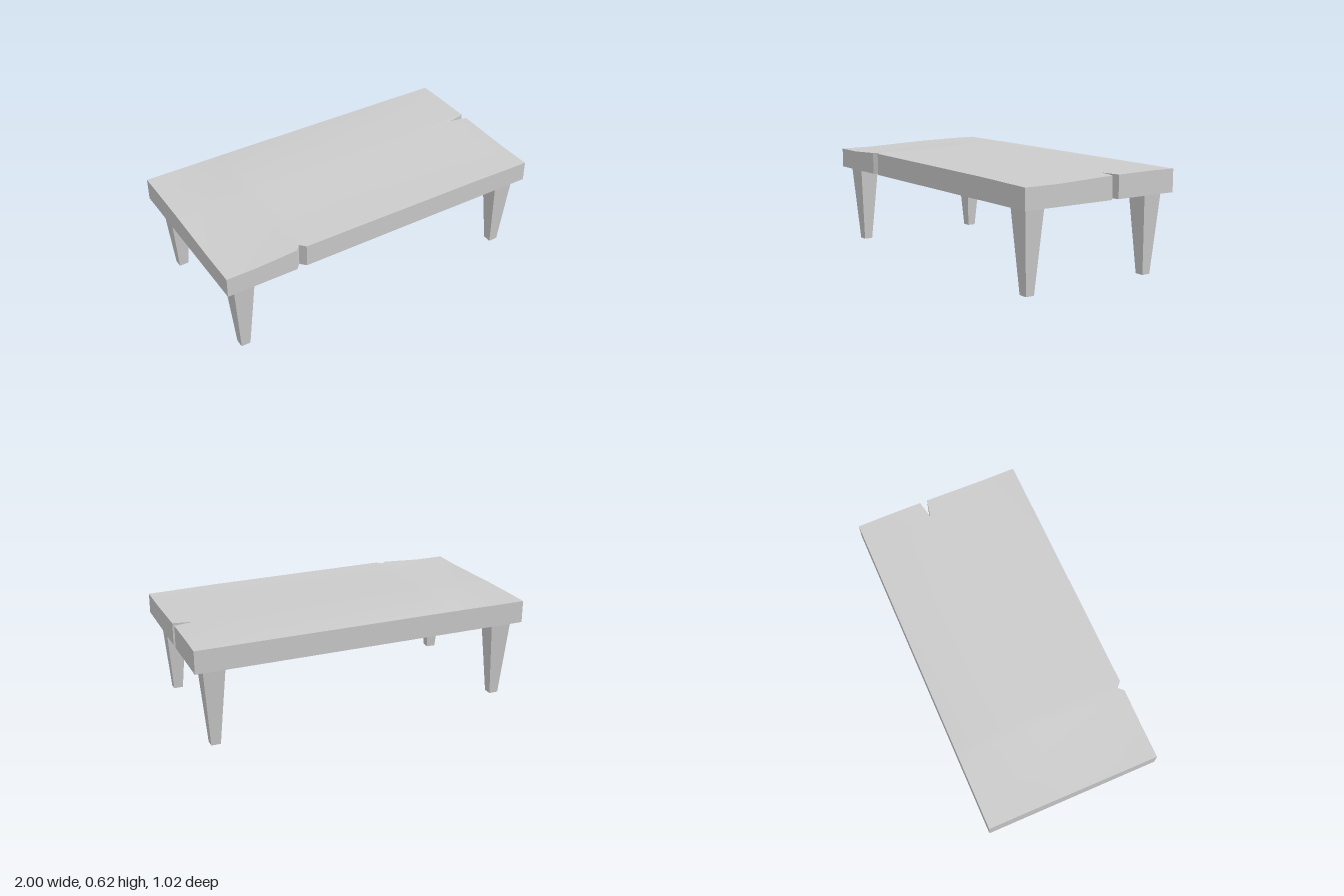
import * as THREE from 'three';
import { toCreasedNormals } from 'three/addons/utils/BufferGeometryUtils.js';

const material = new THREE.MeshStandardMaterial({ color: 0xcccccc });

// Grid lines of the slab; the close-set lines frame the two notches
const xs = [-1, -0.82, -0.58, -0.55, -0.52, 0, 0.6, 0.85, 1];
const zs = [-0.51, -0.35, -0.11, -0.088, -0.065, 0.3, 0.45, 0.51];

// Piecewise-linear lookup in a list of [position, value] pairs
function ramp(points, t) {
  for (let i = 1; i < points.length; i++) {
    const [a, va] = points[i - 1], [b, vb] = points[i];
    if (t <= b) return va + (vb - va) * (t - a) / (b - a);
  }
  return points[points.length - 1][1];
}

// Gently worn height of the table surface
function topHeight(x, z) {
  const ridge = ramp([[-0.51, 0.606], [-0.35, 0.62], [-0.09, 0.617], [0.3, 0.604], [0.51, 0.604]], z);
  const dip = ramp([[-1, 0.015], [-0.82, 0.015], [-0.55, 0], [0.6, 0.006], [1, 0.013]], x);
  const backEdge = ramp([[-0.51, 0.1], [-0.35, 1]], z);
  return ridge - dip * backEdge;
}

// Slab: a subdivided box whose vertices move to the grid lines
function slabGeometry() {
  const nx = xs.length - 1, nz = zs.length - 1;
  const geometry = new THREE.BoxGeometry(nx, 1, nz, nx, 1, nz);
  const p = geometry.attributes.position;
  for (let i = 0; i < p.count; i++) {
    const column = Math.round(p.getX(i) + nx / 2);
    const row = Math.round(p.getZ(i) + nz / 2);
    let x = xs[column], z = zs[row];
    const y = p.getY(i) > 0 ? topHeight(x, z) : 0.472;
    if (column === 3 && row === nz) z = 0.477; // front notch
    if (column === nx && row === 3) x = 0.89; // side notch
    p.setXYZ(i, x, y, z);
  }
  return toCreasedNormals(geometry, 0.3);
}

// Tapered square leg standing on the ground
function legGeometry() {
  const geometry = new THREE.BoxGeometry(0.128, 0.474, 0.122);
  geometry.translate(0, 0.237, 0);
  const p = geometry.attributes.position;
  for (let i = 0; i < p.count; i++) {
    if (p.getY(i) < 0.1) p.setXYZ(i, p.getX(i) * 0.43, 0, p.getZ(i) * 0.43);
  }
  return toCreasedNormals(geometry, 0.3);
}

export function createModel() {
  const group = new THREE.Group();
  group.name = 'lowTable';

  const slab = new THREE.Mesh(slabGeometry(), material);
  slab.name = 'tableTop';
  group.add(slab);

  const leg = legGeometry();
  for (const sx of [-1, 1]) {
    for (const sz of [-1, 1]) {
      const mesh = new THREE.Mesh(leg, material);
      mesh.name = (sz > 0 ? 'front' : 'back') + (sx > 0 ? 'Left' : 'Right') + 'Leg';
      mesh.position.set(sx * 0.884, 0, sz * 0.409);
      group.add(mesh);
    }
  }
  return group;
}
